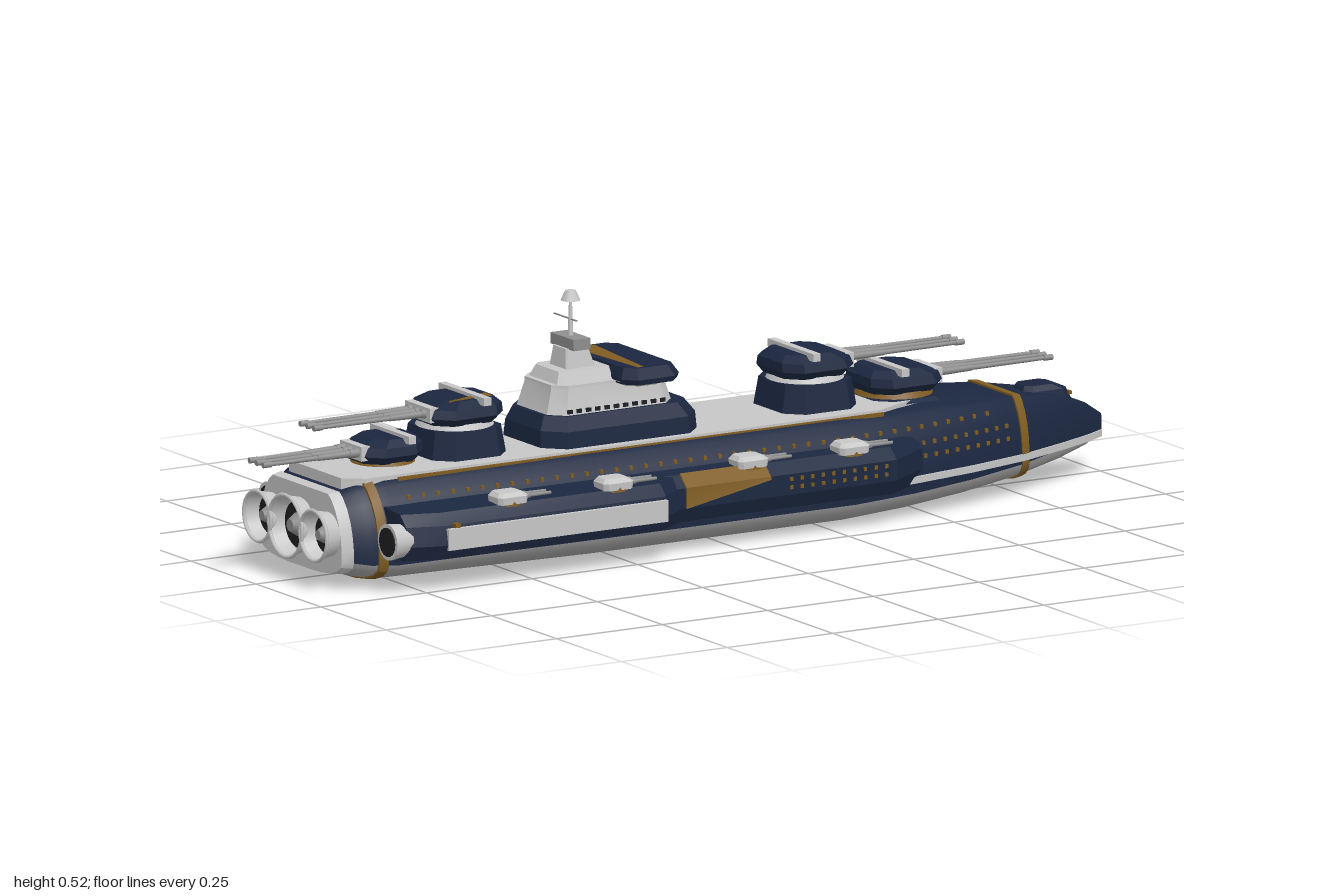
import * as THREE from 'three';
import { mergeGeometries, toCreasedNormals } from 'three/addons/utils/BufferGeometryUtils.js';

const mat = (name, color, side = THREE.FrontSide) => {
  const m = new THREE.MeshStandardMaterial({ color, side });
  m.name = name;
  return m;
};

export function createModel() {
  const root = new THREE.Group();
  root.name = 'battleship';
  const navy = mat('navy', 0x1b2740), white = mat('paleGrey', 0xc6c6c6, THREE.DoubleSide);
  const grey = mat('hullGrey', 0xa2a2a2), gold = mat('gold', 0x7f5c22, THREE.DoubleSide);
  const metal = mat('gunMetal', 0x8e8e8e), dark = mat('dark', 0x1c1e22);

  const add = (name, geo, material, parent = root) => {
    const m = new THREE.Mesh(geo, material);
    m.name = name;
    parent.add(m);
    return m;
  };
  const box = (lx, ly, lz, x, y, z) => new THREE.BoxGeometry(lx, ly, lz).translate(x, y, z);
  // cylinder lying along x
  const rod = (r0, r1, x0, x1, y, z, n = 10, open = false) =>
    new THREE.CylinderGeometry(r1, r0, x1 - x0, n, 1, open).rotateZ(-Math.PI / 2).translate((x0 + x1) / 2, y, z);

  // skin over equal-length rings of [x, y, z], closed at both ends
  const loft = (rings, crease = 0.5) => {
    const n = rings[0].length, idx = [];
    rings.slice(1).forEach((_, s) => {
      for (let i = 0; i < n; i++) {
        const a = s * n + i, b = s * n + (i + 1) % n;
        idx.push(a, b, a + n, b, b + n, a + n);
      }
    });
    const e = (rings.length - 1) * n;
    for (let i = 1; i < n - 1; i++) idx.push(0, i + 1, i, e, e + i, e + i + 1);
    const g = new THREE.BufferGeometry();
    g.setAttribute('position', new THREE.Float32BufferAttribute(rings.flat(2), 3));
    g.setIndex(idx);
    return toCreasedNormals(g, crease);
  };
  // bevelled block from levels [y, centreX, halfX, halfZ, chamfer]
  const block = levels => loft(levels.map(([y, cx, l, w, c]) =>
    [[l - c, w], [l, w - c], [l, c - w], [l - c, -w], [c - l, -w], [-l, c - w], [-l, w - c], [c - l, w]]
      .map(([x, z]) => [cx + x, y, z])), 0.3);

  // Hull stations: x, half width, keel, colour line, deck height
  const stations = [
    [-0.88, 0.16, 0.03, 0.06, 0.19], [-0.84, 0.185, 0.015, 0.054, 0.206], [-0.78, 0.195, 0.008, 0.05, 0.213],
    [-0.3, 0.2, 0, 0.05, 0.215], [0.3, 0.2, 0, 0.05, 0.215], [0.45, 0.184, 0.006, 0.053, 0.213],
    [0.6, 0.157, 0.016, 0.059, 0.207], [0.75, 0.118, 0.03, 0.067, 0.199], [0.87, 0.07, 0.046, 0.076, 0.182],
    [0.95, 0.034, 0.062, 0.083, 0.152], [1, 0.005, 0.08, 0.088, 0.12]];
  const upper = [[1, 0], [1, 0.18], [0.97, 0.4], [0.92, 0.6], [0.84, 0.78], [0.74, 0.93], [0.66, 1]];
  const lower = [[1, 0], [0.97, 0.3], [0.87, 0.62], [0.72, 0.83], [0.5, 0.96], [0.25, 1]];
  const at = x => {
    const i = Math.max(1, stations.findIndex(s => s[0] >= x)), a = stations[i - 1], b = stations[i];
    return a.map((v, k) => v + (b[k] - v) * (x - a[0]) / (b[0] - a[0]));
  };
  const topHalf = ([x, w, , yw, yt], g = 0) => {
    const right = upper.map(([f, h]) => [x, yw + h * (yt - yw) + g * h, f * w + g]);
    return [...right.map(([a, y, z]) => [a, y, -z]), ...right.reverse()];
  };
  const lowHalf = ([x, w, yb, yw], g = 0) => {
    const right = lower.map(([f, h]) => [x, yw - h * (yw - yb) - g * h, f * w + g]);
    return [...right, ...right.map(([a, y, z]) => [a, y, -z]).reverse()];
  };
  const fullRing = (x, g) => [...topHalf(at(x), g), ...lowHalf(at(x), g)];
  const hullZ = (x, y) => {
    const [, w, , yw, yt] = at(x), h = (y - yw) / (yt - yw);
    const i = Math.max(1, upper.findIndex(p => p[1] >= h)), a = upper[i - 1], b = upper[i];
    return w * (a[0] + (b[0] - a[0]) * (h - a[1]) / (b[1] - a[1]));
  };

  add('upperHull', loft(stations.map(s => topHalf(s)), 0.7), navy);
  add('lowerHull', loft(stations.map(s => lowHalf(s)), 0.7), grey);
  for (const x of [0.75, -0.815]) add('hullBand', loft([fullRing(x - 0.01, 0.004), fullRing(x + 0.01, 0.004)]), gold);
  // level strake running to the stem
  add('bowStrake', loft([0.43, 0.45, 0.6, 0.75, 0.87, 0.95, 0.998].map(x => {
    const z = at(x)[1] + 0.004;
    return [[x, 0.088, -z], [x, 0.088, z], [x, 0.074, z], [x, 0.074, -z]];
  })), white);

  // Deck with a gold line along each side
  const deckHalf = [[-0.86, 0.1], [-0.82, 0.13], [0.4, 0.13], [0.55, 0.06], [0.58, 0.03]];
  const deckRing = y => [...deckHalf.map(([x, z]) => [x, y, z]), ...deckHalf.map(([x, z]) => [x, y, -z]).reverse()];
  add('deck', loft([deckRing(0.19), deckRing(0.221)], 0.3), white);
  for (const z of [-1, 1]) add('deckLine', box(1.15, 0.008, 0.008, -0.17, 0.212, z * 0.131), gold);

  // Sponsons and everything along the sides
  const aftSec = [[0.17, 0.14], [0.163, 0.255], [0.14, 0.277], [0.1, 0.285], [0.07, 0.272], [0.07, 0.14]];
  const foreSec = [[0.17, 0.14], [0.165, 0.215], [0.142, 0.24], [0.1, 0.242], [0.07, 0.228], [0.07, 0.14]];
  const goldHi = [[0.168, 0.217], [0.143, 0.244], [0.1, 0.246], [0.1, 0.238], [0.141, 0.236], [0.162, 0.212]];
  const goldLo = goldHi.map(([y, z]) => [Math.max(y, 0.137), z]);
  const goldTop = [[0.171, 0.2], [0.166, 0.256], [0.15, 0.27], [0.147, 0.266], [0.16, 0.25], [0.162, 0.2]];
  const portholes = [];
  for (const side of [1, -1]) {
    const g = new THREE.Group();
    g.name = side > 0 ? 'leftSide' : 'rightSide';
    root.add(g);
    const strip = list => loft(list.map(([x, sec, dz]) => {
      const r = sec.map(([y, z]) => [x, y, side * Math.max(0.13, z + dz)]);
      return side > 0 ? r : r.reverse();
    }), 0.35);
    add('aftSponson', strip([[-0.8, aftSec, -0.025], [-0.72, aftSec, 0], [-0.2, aftSec, 0], [-0.13, aftSec, -0.05]]), navy, g);
    add('foreSponson', strip([[-0.2, foreSec, 0], [0.37, foreSec, 0], [0.47, foreSec, -0.065]]), navy, g);
    add('sidePanel', box(0.52, 0.044, 0.012, -0.46, 0.112, side * 0.282), white, g);
    // painted wedges differ from side to side
    if (side > 0) add('goldWedge', strip([[-0.13, goldHi, 0], [0.07, goldLo, 0]]), gold, g);
    else {
      add('goldWedge', strip([[0.19, goldLo, 0], [0.37, goldHi, 0], [0.43, goldLo, -0.038]]), gold, g);
      add('goldPatch', strip([[-0.385, goldTop, 0], [-0.27, goldTop, 0]]), gold, g);
      add('goldStripe', strip([[-0.13, goldLo, 0], [0, goldLo, 0]]), gold, g);
    }
    add('sideLamp', box(0.012, 0.008, 0.014, -0.7, 0.14, side * 0.284), gold, g);
    // auxiliary thrusters
    add('sideThruster', rod(0.038, 0.03, -0.83, -0.77, 0.11, side * 0.23, 16), white, g);
    add('sideThrusterCore', rod(0.03, 0.03, -0.832, -0.82, 0.11, side * 0.23, 16), dark, g);
    // secondary twin turrets
    for (const [x, z] of [[-0.55, 0.238], [-0.3, 0.238], [0.04, 0.205], [0.28, 0.205]]) {
      const t = new THREE.Group();
      t.name = 'secondaryTurret';
      t.position.set(x, 0.16, side * z);
      g.add(t);
      add('base', new THREE.CylinderGeometry(0.026, 0.028, 0.012, 12).translate(0, 0.004, 0), gold, t);
      add('house', block([[0.002, 0, 0.034, 0.026, 0.008], [0.017, 0, 0.036, 0.027, 0.008], [0.026, -0.003, 0.026, 0.02, 0.006]]), white, t);
      for (const dz of [-0.01, 0.01]) {
        add('muzzleSleeve', rod(0.006, 0.006, 0.03, 0.045, 0.013, dz, 8), metal, t);
        add('barrel', rod(0.004, 0.0035, 0.03, 0.095, 0.013, dz, 8), metal, t);
      }
    }
    // rows of lit portholes
    const row = (x0, x1, y, step, zAt) => {
      for (let x = x0; x <= x1; x += step) portholes.push(box(0.007, 0.008, 0.007, x, y, side * zAt(x)));
    };
    row(0.12, 0.37, 0.115, 0.025, () => 0.24);
    row(0.12, 0.37, 0.132, 0.025, () => 0.239);
    for (const y of [0.125, 0.15]) row(0.48, 0.71, y, 0.028, x => hullZ(x, y));
    row(-0.74, 0.68, 0.18, 0.035, x => hullZ(x, 0.18));
  }
  add('portholes', mergeGeometries(portholes), gold);

  // thin plate lying flat over [x, z] corners
  const plate = (pts, y) => new THREE.ExtrudeGeometry(new THREE.Shape(pts.map(([x, z]) => new THREE.Vector2(x, -z))),
    { depth: 0.003, bevelEnabled: false }).rotateX(-Math.PI / 2).translate(0, y, 0);

  // Main triple turrets; heading 1 points to the bow, -1 to the stern
  const turret = (x, y, heading, reach, collar, s = 1) => {
    const t = new THREE.Group();
    t.name = 'mainTurret';
    t.position.set(x, y, 0);
    if (heading < 0) t.rotation.y = Math.PI;
    root.add(t);
    add('barbette', block([[0.215 - y, 0, 0.088 * s, 0.092 * s, 0.035], [-0.006, 0, 0.078 * s, 0.082 * s, 0.03]]), navy, t);
    add('collar', new THREE.CylinderGeometry(0.074 * s, 0.08 * s, 0.012, 24), collar, t);
    add('gunHouse', block([[0.004, 0, 0.074 * s, 0.07 * s, 0.03], [0.02, 0, 0.084 * s, 0.084 * s, 0.034],
      [0.038, -0.003, 0.08 * s, 0.079 * s, 0.032], [0.052, -0.01, 0.058 * s, 0.06 * s, 0.025]]), navy, t);
    add('facePlate', box(0.02, 0.03, 0.096 * s, 0.077 * s, 0.027, 0), white, t);
    for (const z of [-0.026, 0, 0.026]) {
      add('barrelPort', rod(0.01, 0.009, 0.07, 0.096, 0.028, z, 10), metal, t);
      add('barrelSleeve', rod(0.008, 0.006, 0.08, 0.17, 0.028, z), metal, t);
      add('barrel', rod(0.005, 0.004, 0.16, reach, 0.028, z), metal, t);
      add('muzzle', rod(0.006, 0.006, reach - 0.02, reach, 0.028, z), metal, t);
    }
    // rangefinder bar across the roof
    add('rangefinder', box(0.017, 0.016, 0.176 * s, -0.025, 0.051, 0), white, t);
    return t;
  };
  turret(0.3, 0.284, 1, 0.36, white);
  turret(0.51, 0.228, 1, 0.36, gold);
  const aftTurret = turret(-0.53, 0.284, -1, 0.35, white);
  add('roofWedge', plate([[-0.06, -0.045], [-0.06, -0.02], [0.045, -0.052]], 0.051), gold, aftTurret);
  turret(-0.7, 0.222, -1, 0.3, gold, 0.85);

  // Superstructure
  add('lowerTier', block([[0.217, -0.185, 0.185, 0.112, 0.04], [0.255, -0.185, 0.183, 0.108, 0.04], [0.284, -0.19, 0.165, 0.095, 0.035]]), navy);
  add('middleTier', block([[0.283, -0.2, 0.147, 0.088, 0.03], [0.335, -0.2, 0.132, 0.076, 0.025], [0.342, -0.2, 0.132, 0.076, 0.025]]), white);
  add('upperTier', block([[0.342, -0.25, 0.07, 0.066, 0.012], [0.366, -0.25, 0.06, 0.056, 0.012]]), white);
  add('bridgeSoffit', block([[0.331, -0.14, 0.04, 0.11, 0.02], [0.342, -0.135, 0.062, 0.122, 0.025]]), white);
  add('bridge', block([[0.337, -0.13, 0.064, 0.126, 0.025], [0.348, -0.13, 0.068, 0.129, 0.025], [0.371, -0.135, 0.056, 0.12, 0.02]]), navy);
  add('bridgeStripe', plate([[-0.18, -0.112], [-0.13, -0.112], [-0.152, 0.112], [-0.165, 0.112]], 0.369), gold);
  const windows = [];
  for (let i = 0; i < 11; i++) for (const z of [-1, 1]) windows.push(box(0.012, 0.008, 0.006, -0.31 + i * 0.022, 0.291, z * 0.0855));
  add('tierWindows', mergeGeometries(windows), dark);

  // Mast
  add('mastBase', block([[0.36, -0.25, 0.036, 0.034, 0.003], [0.406, -0.255, 0.026, 0.027, 0.003]]), white);
  add('sensorBox', box(0.04, 0.023, 0.09, -0.255, 0.416, 0), metal);
  add('mast', new THREE.CylinderGeometry(0.003, 0.006, 0.08, 8).translate(-0.255, 0.465, 0), white);
  add('mastHead', new THREE.CylinderGeometry(0.011, 0.02, 0.02, 12).translate(-0.255, 0.51, 0), white);
  add('yardArm', box(0.004, 0.002, 0.088, -0.255, 0.461, -0.018), metal);

  // Bow sensor hump
  add('bowHump', block([[0.16, 0.86, 0.06, 0.042, 0.02], [0.19, 0.855, 0.05, 0.036, 0.016], [0.201, 0.845, 0.035, 0.028, 0.012]]), navy);
  for (const z of [-0.023, 0.023]) add('bowWindow', box(0.008, 0.007, 0.014, 0.911, 0.178, z), gold);

  // Stern and main engines
  add('sternPlate', loft([fullRing(-0.88, 0.004).map(([, y, z]) => [-0.895, y, z * 0.97]), fullRing(-0.872, 0.004)]), white);
  for (const z of [-0.108, 0, 0.108]) {
    const r = z ? 0.052 : 0.064;
    add('engineBell', rod(r, r * 0.82, -0.93, -0.88, 0.112, z, 24, true), white);
    add('engineLip', new THREE.TorusGeometry(r, 0.004, 6, 24).rotateY(Math.PI / 2).translate(-0.93, 0.112, z), white);
    add('engineCore', rod(r * 0.75, r * 0.75, -0.902, -0.89, 0.112, z, 24), dark);
    add('engineHub', rod(r * 0.2, r * 0.4, -0.92, -0.9, 0.112, z, 16), metal);
  }
  return root;
}
